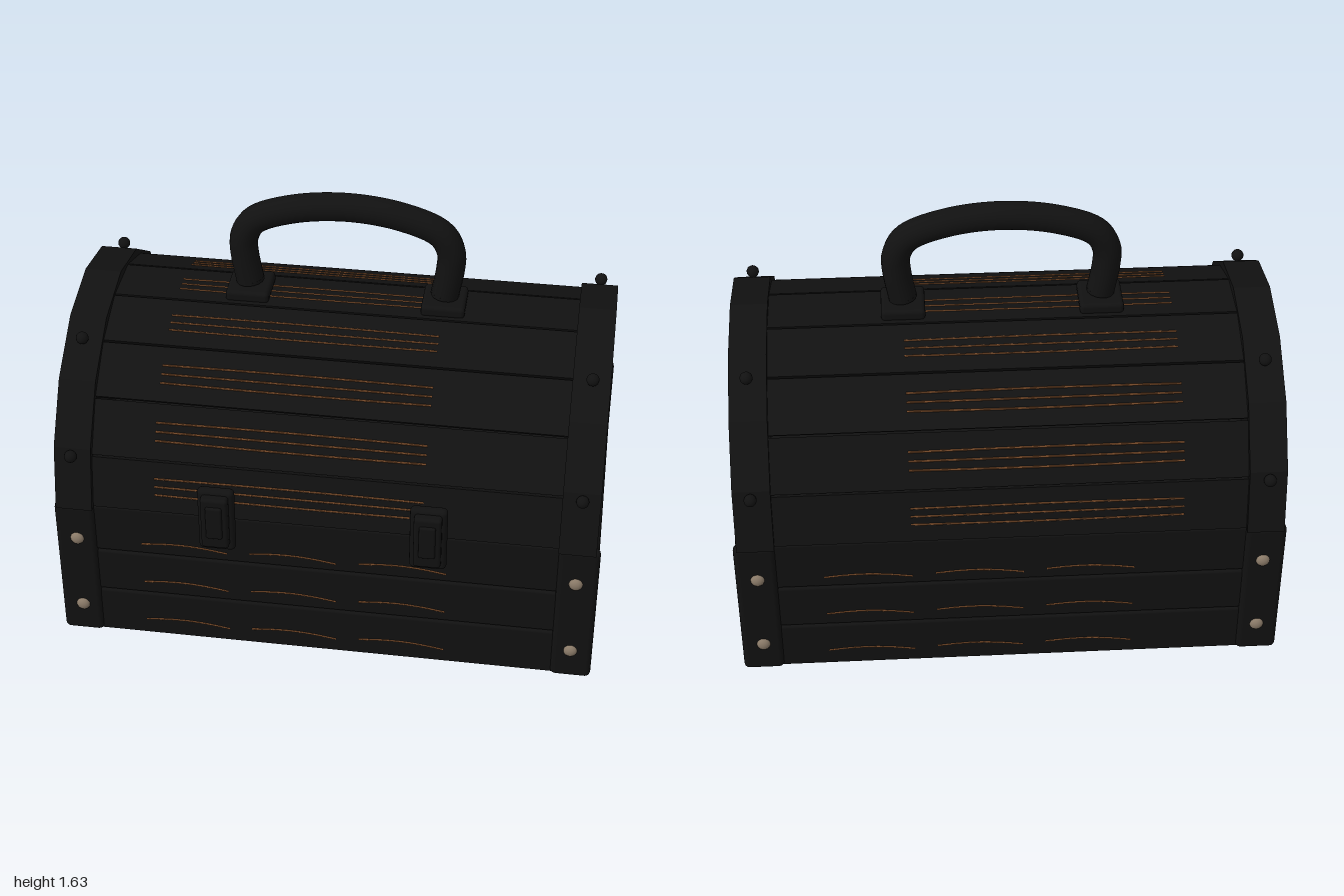
import * as THREE from 'three';
import { RoundedBoxGeometry } from 'three/addons/geometries/RoundedBoxGeometry.js';

const paint = (color) => new THREE.MeshStandardMaterial({ color });
const rad = THREE.MathUtils.degToRad;

export function createModel() {
  const root = new THREE.Group();
  const black = paint(0x111111);
  const brown = paint(0xa57244);
  const grainBrown = paint(0x7a4c2a);
  const studMetal = paint(0x8a7a68);

  const add = (parent, name, geometry, material, x = 0, y = 0, z = 0) => {
    const mesh = new THREE.Mesh(geometry, material);
    mesh.name = name;
    mesh.position.set(x, y, z);
    parent.add(mesh);
    return mesh;
  };
  const group = (parent, name, x = 0, y = 0, z = 0) => {
    const g = new THREE.Group();
    g.name = name;
    g.position.set(x, y, z);
    parent.add(g);
    return g;
  };
  const rbox = (w, h, d, r) => new RoundedBoxGeometry(w, h, d, 2, r);
  // Extrude a (z, y) outline along x, centred on x = 0
  const extrudeX = (shape, length) =>
    new THREE.ExtrudeGeometry(shape, { depth: length, bevelEnabled: false, curveSegments: 24 })
      .translate(0, 0, -length / 2).rotateY(Math.PI / 2);
  const grainLine = (x0, x1, wave, tilt = 0) => {
    const points = [0, 0.25, 0.5, 0.75, 1].map((t) => new THREE.Vector3(
      x0 + (x1 - x0) * t, wave * Math.sin(t * Math.PI) + tilt * (0.5 - t), 0));
    return new THREE.TubeGeometry(new THREE.CatmullRomCurve3(points), 12, 0.004, 4);
  };

  const chest = group(root, 'chest', 0, 0, -0.037);

  // Body: core, end panels, and planked front and back
  const body = group(chest, 'body');
  add(body, 'bodyCore', new THREE.BoxGeometry(1.9, 0.585, 1.16), black, 0, 0.2975, 0);
  for (const s of [-1, 1]) {
    add(body, 'endPanel', rbox(0.12, 0.6, 1.13, 0.025), black, s * 0.935, 0.3, 0);
  }
  const rows = [[0, 0.198], [0.202, 0.388], [0.392, 0.598]];
  for (const turn of [0, Math.PI]) {
    const side = group(body, turn ? 'backSide' : 'frontSide');
    side.rotation.y = turn;
    rows.forEach(([y0, y1], i) => {
      add(side, 'bodyPlank', rbox(1.76, y1 - y0, 0.04, 0.01), black, 0, (y0 + y1) / 2, 0.582);
      for (const x of [-0.68, -0.275, 0.13]) {
        add(side, 'bodyGrain', grainLine(x, x + 0.32, 0.014, 0.01), grainBrown,
          0, [0.064, 0.25, 0.432][i], 0.602);
      }
    });
    for (const s of [-1, 1]) {
      add(side, 'cornerPlate', rbox(0.15, 0.6, 0.046, 0.02), black, s * 0.925, 0.3, 0.594);
      for (const y of [0.13, 0.45]) {
        const stud = add(side, 'stud', new THREE.SphereGeometry(0.026, 16, 12), studMetal, s * 0.92, y, 0.615);
        stud.scale.z = 0.7;
      }
    }
  }

  // Lid: nine staves around a half circle
  const lid = group(chest, 'lid', 0, 0.6, 0);
  const inner = 0.555, outer = 0.602;
  const staveShape = new THREE.Shape();
  const wIn = inner * Math.tan(rad(10)) - 0.004, wOut = outer * Math.tan(rad(10)) - 0.004;
  staveShape.moveTo(-wIn, inner - 0.004).lineTo(wIn, inner - 0.004).lineTo(wOut, outer).lineTo(-wOut, outer);
  const staveGeometry = extrudeX(staveShape, 1.94);
  for (let angle = -80; angle <= 80; angle += 20) {
    const stave = group(lid, 'stave');
    stave.rotation.x = rad(angle);
    add(stave, 'stavePlank', staveGeometry, black);
    for (const k of [-1, 0, 1]) {
      const grain = add(stave, 'staveGrain', grainLine(-0.62, 0.36, 0.003 * k), grainBrown, 0, outer, k * 0.033);
      grain.rotation.x = Math.PI / 2;
    }
  }

  // Arched end panels of three boards over a dark backing
  const board = (y0, y1, r) => {
    const shape = new THREE.Shape();
    const a0 = Math.asin(y0 / r), a1 = Math.asin(Math.min(1, y1 / r));
    shape.absarc(0, 0, r, a0, a1, false);
    shape.absarc(0, 0, r, Math.PI - a1, Math.PI - a0, false);
    return shape;
  };
  const boards = [[0, 0.168], [0.176, 0.358], [0.366, 0.555]];
  // Bands: faceted half rings at both ends
  const bandShape = new THREE.Shape();
  const ring = (r, i) => [r * Math.cos(i * Math.PI / 8), r * Math.sin(i * Math.PI / 8)];
  bandShape.moveTo(...ring(0.632, 0));
  for (let i = 1; i <= 8; i++) bandShape.lineTo(...ring(0.635, i));
  for (let i = 8; i >= 0; i--) bandShape.lineTo(...ring(0.6, i));
  for (const s of [-1, 1]) {
    add(lid, 'endBacking', extrudeX(board(0, 0.55, 0.55), 0.02), black, s * 0.935, 0, 0);
    for (const [y0, y1] of boards) {
      add(lid, 'endBoard', extrudeX(board(y0, y1, inner), 0.025), brown, s * 0.957, 0, 0);
    }
    add(lid, 'lidBand', extrudeX(bandShape, 0.135), black, s * 0.917, 0, 0);
    for (const angle of [-70, -31, 31, 70]) {
      add(lid, 'bandStud', new THREE.SphereGeometry(0.023, 16, 12), black,
        s * 0.92, 0.645 * Math.cos(rad(angle)), 0.645 * Math.sin(rad(angle)));
    }
  }

  // Carrying handle
  const handle = group(chest, 'handle');
  const half = [[0.36, 1.25], [0.378, 1.36], [0.378, 1.43], [0.34, 1.5], [0.2, 1.558]];
  const path = [...half.map(([x, y]) => [-x, y]), [0, 1.582], ...half.slice().reverse()]
    .map(([x, y]) => new THREE.Vector3(x, y, 0));
  add(handle, 'handleGrip', new THREE.TubeGeometry(new THREE.CatmullRomCurve3(path), 64, 0.052, 16), black);
  for (const s of [-1, 1]) {
    const cap = add(handle, 'gripEnd', new THREE.CylinderGeometry(0.052, 0.052, 0.012, 16), black, s * 0.36, 1.252, 0);
    cap.rotation.z = -s * 0.12;
    add(handle, 'handleStem', new THREE.CylinderGeometry(0.036, 0.036, 0.08, 16), black, s * 0.36, 1.23, 0);
    add(handle, 'handleFoot', rbox(0.16, 0.045, 0.17, 0.015), black, s * 0.36, 1.217, 0);
  }

  // Front latches: back plate, raised frame and clasp
  for (const s of [-1, 1]) {
    const latch = group(root, 'latch', s * 0.385, 0.62, 0);
    add(latch, 'latchPlate', rbox(0.135, 0.27, 0.04, 0.018), black, 0, 0, 0.597);
    add(latch, 'latchFrame', rbox(0.1, 0.22, 0.04, 0.012), black, 0, 0.01, 0.63);
    add(latch, 'latchClasp', rbox(0.06, 0.14, 0.02, 0.008), black, 0, 0.02, 0.65);
    add(latch, 'latchMount', new THREE.BoxGeometry(0.08, 0.2, 0.06), black, 0, -0.02, 0.56);
  }
  return root;
}
